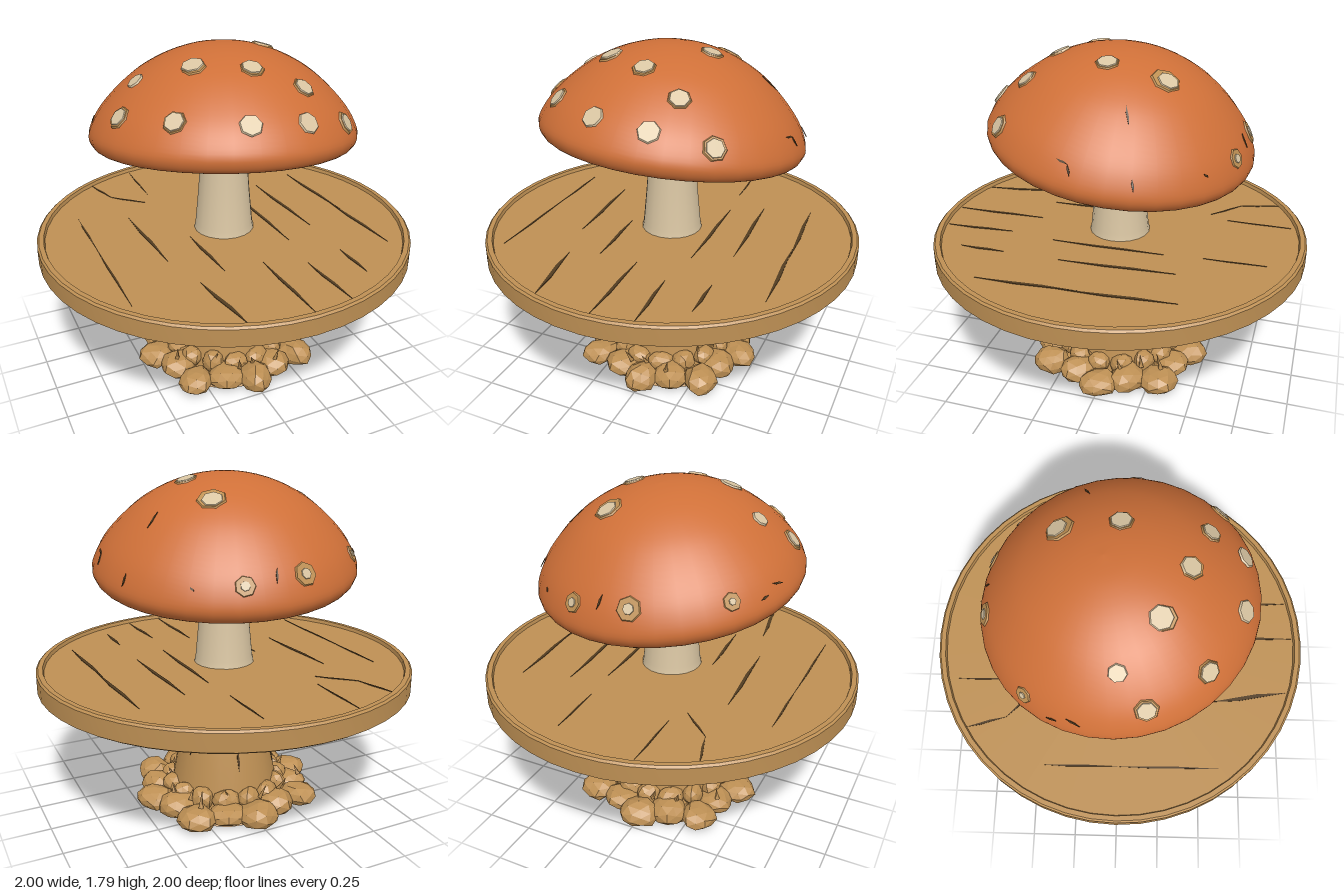
import * as THREE from 'three';
import { toCreasedNormals } from 'three/addons/utils/BufferGeometryUtils.js';

const mat = (name, color, side = THREE.FrontSide) => {
  const m = new THREE.MeshStandardMaterial({ color, side });
  m.name = name;
  return m;
};
const V = (x, y, z) => new THREE.Vector3(x, y, z);
const V2 = (p) => new THREE.Vector2(p[0], p[1]);

export function createModel() {
  const group = new THREE.Group();
  const wood = mat('wood', 0xbe9054);
  const orange = mat('capOrange', 0xcf7038);
  const cream = mat('cream', 0xdac6a3);
  const gillGrey = mat('gillGrey', 0xcabda6);
  const dark = mat('darkCrack', 0x523c21);

  let seed = 7;
  const rnd = () => (seed = (seed * 16807) % 2147483647) / 2147483647;

  const add = (name, geo, material, parent = group) => {
    const mesh = new THREE.Mesh(geo, material);
    mesh.name = name;
    parent.add(mesh);
    return mesh;
  };
  const lathe = (pts, segs) => new THREE.LatheGeometry(pts.map(V2), segs);

  // Thin tapered plate from a to b, lying on a surface with the given normal
  const sliver = (name, a, b, normal, width, parent = group) => {
    const along = b.clone().sub(a);
    const len = along.length();
    const s = new THREE.Shape([[0, 0], [len * 0.35, -width / 2], [len, 0], [len * 0.6, width / 2]].map(V2));
    const geo = new THREE.ExtrudeGeometry(s, { depth: 0.004, bevelEnabled: false });
    const x = along.normalize();
    const y = normal.clone().cross(x).normalize();
    const z = x.clone().cross(y);
    geo.applyMatrix4(new THREE.Matrix4().makeBasis(x, y, z).setPosition(a));
    return add(name, geo, dark, parent);
  };

  // Round tabletop with a raised rim
  add('tabletop', toCreasedNormals(lathe([
    [0, 0.695], [0.985, 0.695], [1, 0.705], [1, 0.795], [0.99, 0.805],
    [0.965, 0.805], [0.96, 0.785], [0, 0.785]], 48), 0.6), wood);

  // Plank gaps on the tabletop: x1, z1, x2, z2, width
  [[-0.71, -0.39, -0.71, -0.03, 0.012], [-0.71, -0.03, -0.71, 0.56, 0.012],
    [0.655, -0.47, 0.69, 0.1, 0.022], [0.68, 0, 0.705, 0.53, 0.022],
    [-0.35, 0.5, -0.29, 0.91, 0.025], [0.01, 0.45, 0.02, 0.95, 0.02],
    [0.21, 0.55, 0.23, 0.92, 0.02], [0.43, 0.5, 0.43, 0.74, 0.02],
    [-0.52, -0.81, -0.46, -0.6, 0.014], [-0.46, -0.6, -0.3, -0.45, 0.012],
    [-0.25, -0.9, -0.25, -0.55, 0.01], [0.2, -0.82, 0.21, -0.5, 0.01],
    [-0.45, -0.3, -0.42, 0.25, 0.022], [0.4, -0.4, 0.43, 0.2, 0.022],
    [-0.22, 0.05, -0.2, 0.45, 0.02], [0.23, -0.3, 0.24, 0.3, 0.02]]
    .forEach(([x1, z1, x2, z2, w]) => sliver('plankGap', V(x1, 0.784, z1), V(x2, 0.784, z2), V(0, 1, 0), w));

  // Small cracks on the underside of the tabletop
  [[-0.45, -0.5, -0.4, -0.2], [0.1, -0.6, 0.05, -0.4], [-0.7, 0, -0.6, 0.3], [0.5, -0.45, 0.55, -0.2]]
    .forEach(([x1, z1, x2, z2]) => sliver('undersideCrack', V(x1, 0.696, z1), V(x2, 0.696, z2), V(0, -1, 0), 0.012));

  // Flared trunk below, pale mushroom stem above
  const trunkProfile = [[0.31, 0], [0.285, 0.14], [0.25, 0.32], [0.21, 0.5], [0.175, 0.7]];
  add('trunk', lathe(trunkProfile, 24), wood);
  add('stem', lathe([[0.165, 0.77], [0.155, 0.82], [0.138, 1.0], [0.122, 1.2], [0.116, 1.4]], 20), cream);

  // Grooves following the trunk: angle from the front, start and end height
  const trunkRadius = (y) => 0.31 - 0.195 * y;
  [[-0.35, 0.17, 0.68, 0.016], [0.17, 0.2, 0.68, 0.014], [0.38, 0.28, 0.34, 0.02], [1.9, 0.3, 0.62, 0.016],
    [-0.9, 0.27, 0.34, 0.02], [3.0, 0.24, 0.36, 0.014], [4.1, 0.2, 0.42, 0.014]].forEach(([a, y1, y2, w]) => {
    const p = (y) => V(Math.sin(a) * (trunkRadius(y) + 0.003), y, Math.cos(a) * (trunkRadius(y) + 0.003));
    sliver('trunkGroove', p(y1), p(y2), V(Math.sin(a), 0.2, Math.cos(a)), w);
  });

  // Lumpy stones and roots around the foot, flattened at the ground
  const stone = (angle, r, sx, sy, sz, y) => {
    const geo = new THREE.IcosahedronGeometry(1, 1);
    const pos = geo.attributes.position;
    const k = rnd() * 9;
    const v = V(0, 0, 0);
    for (let i = 0; i < pos.count; i++) {
      v.fromBufferAttribute(pos, i);
      const n = 1 + 0.13 * Math.sin(v.x * 3.1 + k) * Math.cos(v.z * 3.7 + v.y * 2 + k);
      pos.setXYZ(i, v.x * n * sx, Math.max(v.y * n * sy + y, 0.005), v.z * n * sz);
    }
    geo.rotateY(angle);
    geo.translate(Math.sin(angle) * r, 0, Math.cos(angle) * r);
    geo.computeVertexNormals();
    add('footStone', geo, wood);
  };
  for (let i = 0; i < 16; i++) {
    const a = (i / 16) * Math.PI * 2;
    const lobe = i % 4 === 2 ? 0.05 : i % 4 === 0 ? 0.03 : -0.02;
    stone(a, 0.385 + lobe, 0.085 + rnd() * 0.025, 0.055 + rnd() * 0.025, 0.1, 0.045);
  }
  for (let i = 0; i < 15; i++) {
    stone((i + 0.5) / 15 * Math.PI * 2, 0.3, 0.055 + rnd() * 0.02, 0.05 + rnd() * 0.02, 0.06, 0.09);
  }
  add('footBase', new THREE.CylinderGeometry(0.4, 0.42, 0.03, 16).translate(0, 0.015, 0), wood);

  // Sharp splinters between the stones
  for (let i = 0; i < 16; i++) {
    const a = i * 2.4;
    const r = 0.3 + rnd() * 0.12;
    const h = 0.06 + rnd() * 0.04;
    const splinter = add('splinter', new THREE.ConeGeometry(0.014, h, 4), wood);
    splinter.position.set(Math.sin(a) * r, 0.1 + h / 2, Math.cos(a) * r);
    splinter.rotation.set((rnd() - 0.5) * 0.9, 0, (rnd() - 0.5) * 0.9);
  }
  const shard = add('trunkShard', new THREE.ConeGeometry(0.022, 0.09, 4), wood);
  shard.position.set(-0.06, 0.3, 0.255);
  shard.rotation.x = 0.6;

  // Tilted cap: orange dome with rounded lip, recessed pale underside
  const cap = new THREE.Group();
  cap.name = 'cap';
  cap.position.set(0, 1.33, -0.01);
  cap.rotation.set(-0.14, 0, -0.06);
  group.add(cap);
  cap.updateMatrix();

  const dome = new THREE.SplineCurve([
    [0.615, -0.045], [0.635, -0.068], [0.672, -0.045], [0.687, 0.01], [0.652, 0.095], [0.592, 0.178],
    [0.5, 0.27], [0.4, 0.345], [0.27, 0.41], [0.13, 0.45], [0, 0.462]].map(V2)).getPoints(40);
  dome[40].x = 0;
  add('capDome', new THREE.LatheGeometry(dome, 36), orange, cap);
  add('capUnderside', lathe([[0, -0.025], [0.15, -0.028], [0.4, -0.045], [0.55, -0.058], [0.625, -0.06]], 36), gillGrey, cap);

  // Point and normal on the dome above a local x, z
  const onDome = (x, z) => {
    const r = Math.min(Math.hypot(x, z), 0.683);
    let i = 14;
    while (i < 39 && dome[i + 1].x > r) i++;
    const a = dome[i], b = dome[i + 1];
    const t = THREE.MathUtils.clamp((a.x - r) / (a.x - b.x), 0, 1);
    const ang = Math.atan2(x, z);
    const n = V(Math.sin(ang) * (b.y - a.y), a.x - b.x, Math.cos(ang) * (b.y - a.y)).normalize();
    return { p: V(Math.sin(ang) * r, a.y + (b.y - a.y) * t, Math.cos(ang) * r), n };
  };
  // Same, found from model x, z by correcting for the tilt
  const underTilt = (x, z) => {
    let lx = x, lz = z;
    for (let i = 0; i < 8; i++) {
      const w = onDome(lx, lz).p.applyMatrix4(cap.matrix);
      lx += (x - w.x) * 0.7;
      lz += (z - w.z) * 0.7;
    }
    return onDome(lx, lz);
  };

  // Raised spots, some with a tan ring: x, z, spot radius, ring radius, ring shift
  const disc = (name, { p, n }, radius, lift, material, spin) => {
    const d = add(name, new THREE.CylinderGeometry(radius * 0.92, radius, 0.009, 7).rotateY(spin), material, cap);
    d.position.copy(p).addScaledVector(n, lift);
    d.quaternion.setFromUnitVectors(V(0, 1, 0), n);
  };
  [[-0.46, 0, 0.045, 0], [0.21, 0, 0.052, 0.06], [-0.24, 0.18, 0.058, 0.06, -0.03], [0, 0.31, 0.052, 0.06, -0.01],
    [0.22, 0.41, 0.05, 0.058], [0.42, 0.48, 0.048, 0.06], [0.15, 0.58, 0.055, 0], [-0.13, 0.57, 0.055, 0],
    [-0.42, 0.4, 0.05, 0.058], [-0.59, 0.13, 0.048, 0.06], [0.2, -0.29, 0.055, 0.075, -0.02],
    [-0.1, -0.645, 0.028, 0.06], [0.2, -0.63, 0.024, 0.05], [-0.5, -0.43, 0.018, 0.045]]
    .forEach(([x, z, r, ring, shift = 0]) => {
      const spin = rnd() * 3;
      if (ring) disc('spotRing', underTilt(x, z - shift * 0.5), ring, 0, wood, spin);
      disc('spot', underTilt(x, z), r, 0.005, cream, spin);
    });

  // Small nicks in the dome: local x, z pairs
  [[0.64, 0.07, 0.625, 0.13], [0.64, 0.07, 0.665, 0.05], [0.61, -0.22, 0.64, -0.24], [0.4, -0.1, 0.47, -0.14],
    [-0.62, -0.2, -0.65, -0.14], [-0.6, -0.3, -0.62, -0.25], [0.4, -0.52, 0.41, -0.5], [0.03, -0.6, 0.05, -0.64]]
    .forEach(([x1, z1, x2, z2]) => {
      const a = onDome(x1, z1), b = onDome(x2, z2);
      sliver('capNick', a.p, b.p, a.n, 0.012, cap);
    });

  return group;
}
